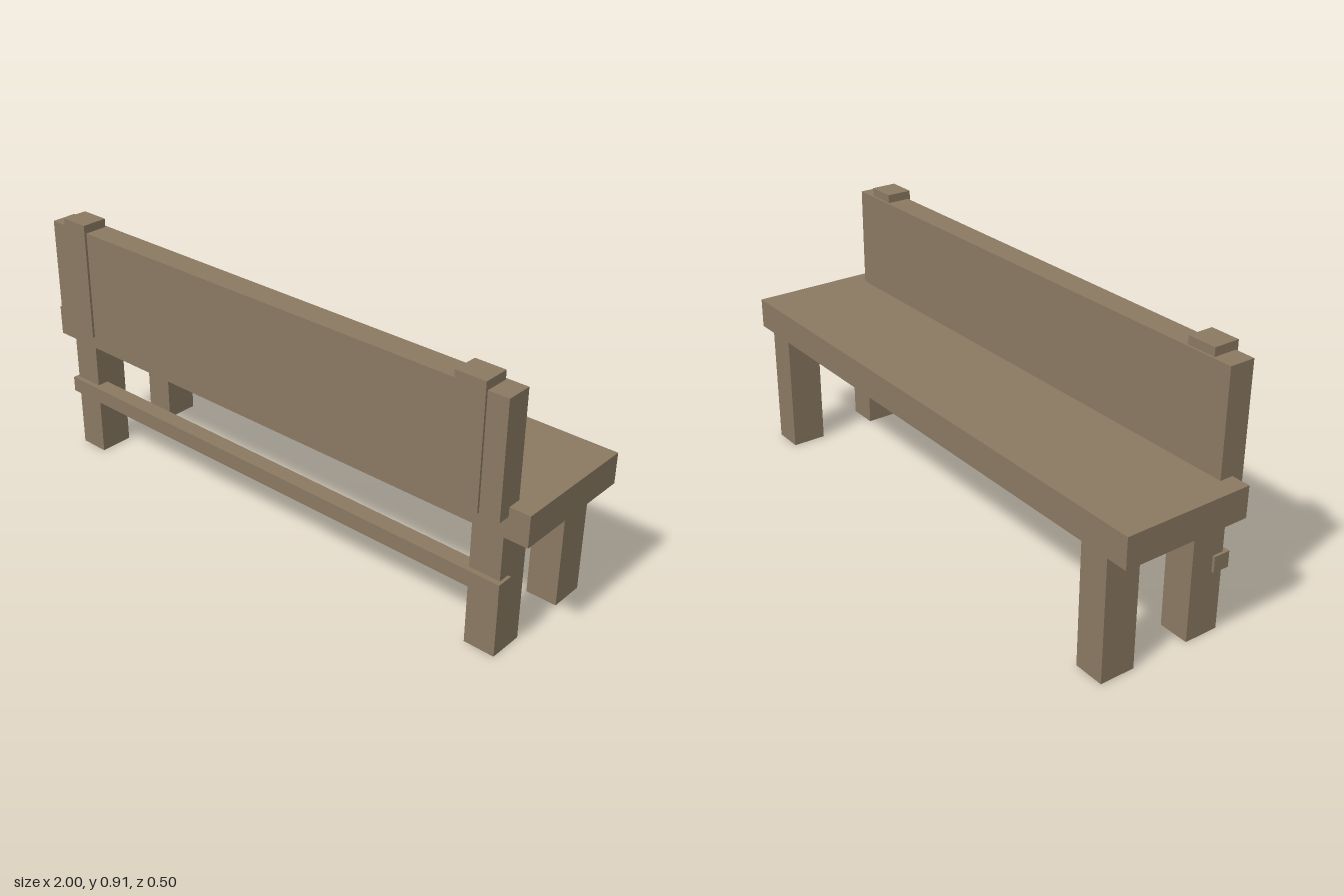
import * as THREE from 'three';

export function createModel() {
  const bench = new THREE.Group();
  bench.name = 'bench';
  const wood = new THREE.MeshStandardMaterial({ color: 0x8a7962 });
  wood.name = 'weathered wood';

  // Box given by its extents along each axis
  function board(name, [x0, x1], [y0, y1], [z0, z1]) {
    const mesh = new THREE.Mesh(new THREE.BoxGeometry(x1 - x0, y1 - y0, z1 - z0), wood);
    mesh.position.set((x0 + x1) / 2, (y0 + y1) / 2, (z0 + z1) / 2);
    mesh.name = name;
    bench.add(mesh);
  }

  // Seat slab, backrest panel and long stretcher
  board('seat', [-1, 1], [0.42, 0.525], [-0.25, 0.2]);
  board('backrest', [-0.935, 0.93], [0.493, 0.878], [0.153, 0.242]);
  board('stretcher', [-0.935, 0.93], [0.215, 0.27], [0.16, 0.218]);

  // Legs and backrest posts at each end, set a hair towards the right
  for (const side of [-1, 1]) {
    const end = side > 0 ? 'left' : 'right';
    const span = (centre, width) => {
      const x = side * centre - 0.003;
      return [x - width / 2, x + width / 2];
    };
    board(end + 'FrontLeg', span(0.869, 0.107), [0, 0.42], [0.079, 0.2]);
    board(end + 'BackLeg', span(0.869, 0.107), [0, 0.42], [-0.25, -0.128]);
    board(end + 'BackrestPost', span(0.812, 0.103), [0.497, 0.907], [0.16, 0.25]);
  }
  return bench;
}
